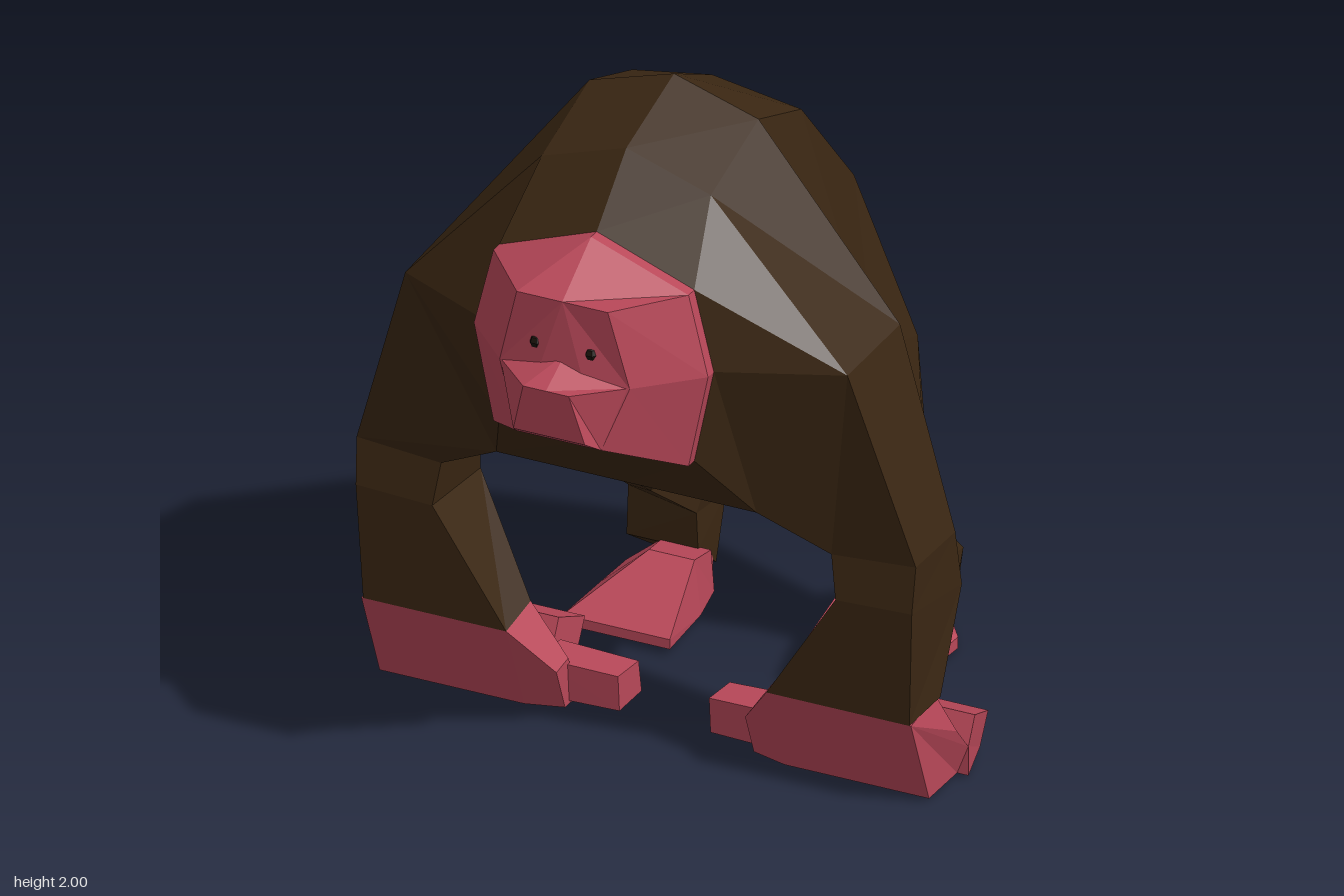
import * as THREE from 'three';

const material = (name, color) => {
  const m = new THREE.MeshStandardMaterial({ color, flatShading: true });
  m.name = name;
  return m;
};

// Faceted skin through cross-sections; rings run clockwise seen from the first end
function loft(name, mat, rings, side = 1) {
  const rs = rings.map((r) => {
    const pts = r.map(([x, y, z]) => [x * side, y, z]);
    return side < 0 ? pts.reverse() : pts;
  });
  const pos = [];
  const tri = (a, b, c) => pos.push(...a, ...b, ...c);
  const n = rs[0].length;
  for (let k = 0; k < rs.length - 1; k++) {
    for (let i = 0; i < n; i++) {
      const j = (i + 1) % n;
      tri(rs[k][i], rs[k][j], rs[k + 1][j]);
      tri(rs[k][i], rs[k + 1][j], rs[k + 1][i]);
    }
  }
  const first = rs[0], last = rs[rs.length - 1];
  for (let i = 1; i < n - 1; i++) {
    tri(first[0], first[i + 1], first[i]);
    tri(last[0], last[i], last[i + 1]);
  }
  const g = new THREE.BufferGeometry();
  g.setAttribute('position', new THREE.Float32BufferAttribute(pos, 3));
  g.computeVertexNormals();
  const mesh = new THREE.Mesh(g, mat);
  mesh.name = name;
  return mesh;
}

// Completes a half ring that starts and ends on the centre plane
const whole = (half) => [...half, ...half.slice(1, -1).reverse().map(([x, y, z]) => [-x, y, z])];
// Gives a flat outline one fixed coordinate
const atX = (x, zy) => zy.map(([z, y]) => [x, y, z]);
const atZ = (z, xy) => xy.map(([x, y]) => [x, y, z]);

export function createModel() {
  const fur = material('dark brown fur', 0x3b2713);
  const skin = material('pink skin', 0xb94859);
  const dark = material('eye black', 0x1a130b);
  const model = new THREE.Group();
  model.name = 'ape';

  // Corners shared by the torso and the limbs
  const shoulderF = [0.68, 1.36, 0.37], shoulderB = [0.68, 1.37, 0.05];
  const armpitF = [0.4, 0.87, 0.37], armpitB = [0.4, 0.84, 0.04];
  const hip = [0.41, 1.05, -0.33], groin = [0.2, 0.72, -0.32], belly = [0, 0.72, -0.32];
  const rump = [0.33, 0.88, -0.75], seat = [0.2, 0.46, -0.75];

  // Torso, from the neck opening back to the rump
  const faceRim = [[0, 1.73], [0.3, 1.62], [0.36, 1.38], [0.3, 1.09], [0, 1.08]];
  model.add(loft('torso', fur, [
    atZ(0.55, faceRim),
    [[0, 1.905, 0.37], [0.26, 1.82, 0.37], shoulderF, armpitF, [0, 0.87, 0.37]],
    [[0, 2, 0.08], [0.26, 1.92, 0.08], shoulderB, armpitB, [0, 0.83, 0.04]],
    [[0, 1.89, -0.15], [0.26, 1.83, -0.18], hip, groin, belly],
    [[0, 1.43, -0.58], [0.22, 1.43, -0.58], hip, groin, belly],
    [[0, 0.73, -0.86], rump, hip, groin, belly],
    [[0, 0.52, -0.82], seat, seat, groin, belly],
  ].map(whole)));

  // Face and muzzle
  model.add(loft('face', skin, [
    [[0, 1.61, 0.76], [0.14, 1.61, 0.76], [0.2, 1.38, 0.745], [0.13, 1.19, 0.78], [0, 1.19, 0.78]],
    atZ(0.585, faceRim),
    atZ(0.54, faceRim),
  ].map(whole)));
  model.add(loft('muzzle', skin, [
    [[0, 1.38, 0.86], [0.07, 1.38, 0.86], [0.11, 1.23, 0.84], [0, 1.23, 0.84]],
    [[0, 1.44, 0.745], [0.2, 1.38, 0.74], [0.13, 1.19, 0.78], [0, 1.19, 0.78]],
  ].map(whole)));

  // Side outlines of the hand
  const palm = [[0.31, 0.285], [0.16, 0.31], [0.1, 0.18], [0.03, 0.1], [0.03, 0.01], [0.2, 0.01]];
  const fingers = [[0.03, 0.1], [-0.01, 0.18], [-0.17, 0.11], [-0.12, 0.02], [0.03, 0.01]];
  const thumb = [[0.16, 0.14], [0.02, 0.13], [0, 0.02], [0.15, 0.02]];
  const palmEnd = (x, s) => atX(x, palm.map(([z, y]) => [0.14 + (z - 0.14) * s, 0.01 + (y - 0.01) * s]));

  for (const s of [1, -1]) {
    const tag = s > 0 ? 'left' : 'right';
    const add = (part, mat, rings) => model.add(loft(tag + part, mat, rings, s));

    // Arm: shoulder, elbow, forearm, wrist
    add('Arm', fur, [
      [shoulderF, armpitF, armpitB, shoulderB],
      [[0.86, 0.78, 0.31], [0.6, 0.76, 0.31], [0.6, 0.75, 0.07], [0.86, 0.78, 0.07]],
      [[0.855, 0.64, 0.325], [0.62, 0.63, 0.325], [0.62, 0.61, 0.03], [0.86, 0.6, 0.03]],
      [[0.84, 0.285, 0.31], [0.4, 0.285, 0.31], [0.4, 0.31, 0.16], [0.86, 0.31, 0.16]],
    ]);

    // Hand resting on its knuckles
    add('Palm', skin, [
      atX(0.87, palm).map(([x, y, z]) => [y > 0.25 || y < 0.05 ? 0.845 : 0.88, y, z]),
      atX(0.4, palm),
      palmEnd(0.29, 0.48),
    ]);
    add('Fingers', skin, [
      atX(0.87, fingers).map(([x, y, z]) => [z < -0.1 ? 0.84 : 0.88, y, z]),
      atX(0.4, fingers),
    ]);
    add('Thumb', skin, [atX(0.38, thumb), atX(0.14, thumb.map(([z, y]) => [z * 0.9, y * 0.92]))]);

    // Leg: hip, knee, ankle, heel
    add('Leg', fur, [
      [hip, groin, seat, rump],
      [[0.53, 0.46, -0.42], [0.34, 0.38, -0.45], [0.26, 0.36, -0.65], [0.42, 0.38, -0.66]],
      [[0.49, 0.29, -0.61], [0.28, 0.25, -0.61], [0.3, 0.21, -0.83], [0.43, 0.21, -0.83]],
      [[0.5, 0.13, -0.62], [0.28, 0.13, -0.62], [0.3, 0.02, -0.77], [0.43, 0.02, -0.77]],
    ]);

    // Foot, from toes to heel
    add('Foot', skin, [
      atZ(-0.25, [[0.18, 0.05], [0.36, 0.05], [0.51, 0.05], [0.51, 0.02], [0.18, 0.02]]),
      atZ(-0.48, [[0.22, 0.18], [0.36, 0.18], [0.51, 0.045], [0.51, 0.015], [0.2, 0.015]]),
      atZ(-0.64, [[0.25, 0.13], [0.4, 0.13], [0.51, 0.04], [0.51, 0.005], [0.24, 0.005]]),
      atZ(-0.75, [[0.3, 0.04], [0.36, 0.04], [0.43, 0.035], [0.43, 0], [0.3, 0]]),
    ]);

    // Eye
    const eye = new THREE.Mesh(new THREE.SphereGeometry(0.02, 6, 4), dark);
    eye.name = tag + 'Eye';
    eye.position.set(0.085 * s, 1.465, 0.75);
    model.add(eye);
  }
  return model;
}
